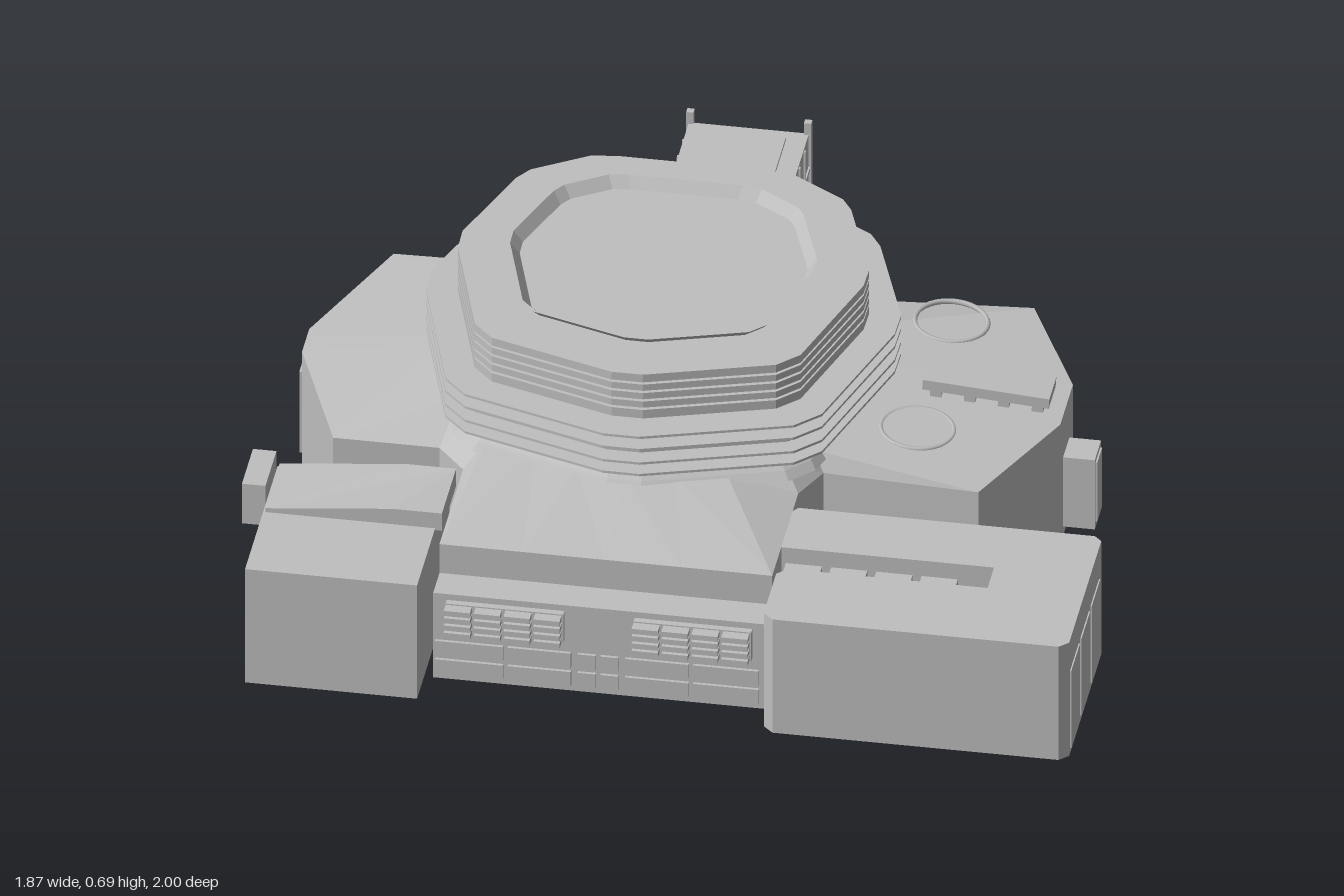
import * as THREE from 'three';

const CX = -0.12, CZ = 0.08; // axis of the stepped drum

// Main hall plan [x, z], going round from +x towards +z
const PLAN = [
  [0.77, 0.16], [0.64, 0.455], [0.29, 0.41], [0.25, 0.5], [0.25, 0.83], [0.25, 0.91], [0.05, 0.91], [-0.12, 0.91],
  [-0.3, 0.91], [-0.485, 0.91], [-0.485, 0.83], [-0.485, 0.53], [-0.55, 0.455], [-0.785, 0.455], [-0.91, 0.13],
  [-0.91, 0.04], [-0.78, -0.285], [-0.55, -0.285], [-0.375, -0.46], [-0.25, -0.68], [-0.25, -0.79],
  [0.015, -0.79], [0.015, -0.68], [0.15, -0.46], [0.31, -0.285], [0.635, -0.285], [0.77, 0.0],
];
// Drum plan for unit radius, with each corner cut slightly
const CORNERS = [[1.02, 0], [0.775, 0.815], [0, 1.06], [-0.775, 0.815], [-1.02, 0], [-0.8, -0.63], [-0.47, -0.84], [0.47, -0.84], [0.8, -0.63]];
const DRUM = CORNERS.flatMap((c, i) => [-1, 1].map((s) => {
  const o = CORNERS[(i + s + CORNERS.length) % CORNERS.length];
  return [c[0] + (o[0] - c[0]) * 0.1, c[1] + (o[1] - c[1]) * 0.1];
}));
const drumPlan = (r) => DRUM.map(([x, z]) => [CX + x * r, CZ + z * r]);

// Flat-shaded skin over rings of [x, y, z], with both ends closed
function loft(rings) {
  const p = [], n = rings[0].length;
  for (let k = 0; k + 1 < rings.length; k++) {
    const a = rings[k], b = rings[k + 1];
    for (let i = 0; i < n; i++) {
      const j = (i + 1) % n;
      p.push(...a[i], ...b[i], ...b[j], ...a[i], ...b[j], ...a[j]);
    }
  }
  const lo = rings[0], hi = rings[rings.length - 1];
  for (let i = 0; i < n; i++) {
    const j = (i + 1) % n;
    p.push(CX, lo[0][1], CZ, ...lo[i], ...lo[j], CX, hi[0][1], CZ, ...hi[j], ...hi[i]);
  }
  const g = new THREE.BufferGeometry();
  g.setAttribute('position', new THREE.Float32BufferAttribute(p, 3));
  g.computeVertexNormals();
  return g;
}

// Point where a ray from the drum axis meets a plan
function hit(plan, angle) {
  const dx = Math.cos(angle), dz = Math.sin(angle);
  for (let i = 0; i < plan.length; i++) {
    const [ax, az] = plan[i], [bx, bz] = plan[(i + 1) % plan.length];
    const ex = bx - ax, ez = bz - az, d = dx * ez - dz * ex;
    if (Math.abs(d) < 1e-9) continue;
    const t = ((ax - CX) * ez - (az - CZ) * ex) / d;
    const s = ((ax - CX) * dz - (az - CZ) * dx) / d;
    if (t > 0 && s >= -1e-6 && s <= 1 + 1e-6) return [CX + dx * t, CZ + dz * t];
  }
  return [CX, CZ];
}

// Solid from a plan shape between two heights
function slab(points, y0, y1) {
  const shape = new THREE.Shape(points.map(([x, z]) => new THREE.Vector2(x, -z)));
  const g = new THREE.ExtrudeGeometry(shape, { depth: y1 - y0, bevelEnabled: false });
  return g.rotateX(-Math.PI / 2).translate(0, y0, 0);
}

// Slab whose upper corners follow a height rule
function slopedSlab(points, y0, topAt) {
  const g = slab(points, y0, y0 + 1).toNonIndexed();
  const p = g.attributes.position;
  for (let i = 0; i < p.count; i++) if (p.getY(i) > y0 + 0.5) p.setY(i, topAt(p.getX(i), p.getZ(i)));
  g.computeVertexNormals();
  return g;
}

export function createModel() {
  const root = new THREE.Group();
  const grey = new THREE.MeshStandardMaterial({ color: 0xbfbfbf, side: THREE.DoubleSide });
  grey.name = 'concreteGrey';

  const add = (name, geo) => {
    const m = new THREE.Mesh(geo, grey);
    m.name = name;
    root.add(m);
    return m;
  };
  // Box from its limits
  const box = (name, x0, x1, y0, y1, z0, z1) =>
    add(name, new THREE.BoxGeometry(x1 - x0, y1 - y0, z1 - z0).translate((x0 + x1) / 2, (y0 + y1) / 2, (z0 + z1) / 2));

  // Main hall: walls, front ledge and step, roof rising to the drum
  const isFront = (z) => z > 0.8;
  const roofEdge = (x, z) => (z < -0.75 ? 0.335 : x > 0.6 ? 0.388 : 0.37);
  const ledge = (x, z) => (isFront(z) ? 0.295 : roofEdge(x, z));
  const stepBack = (z) => (isFront(z) ? 0.83 : z);
  const inner = drumPlan(0.47);
  add('mainHall', loft([
    PLAN.map(([x, z]) => [x, 0.075, z]),
    PLAN.map(([x, z]) => [x, ledge(x, z), z]),
    PLAN.map(([x, z]) => [x, ledge(x, z), stepBack(z)]),
    PLAN.map(([x, z]) => [x, roofEdge(x, z), stepBack(z)]),
    PLAN.map(([x, z]) => {
      const [hx, hz] = hit(inner, Math.atan2(stepBack(z) - CZ, x - CX));
      return [hx, 0.415, hz];
    }),
  ]));

  // Stepped drum with projecting fins and a flared rim round a sunken top
  const profile = [[0.5, 0.4], [0.485, 0.418], [0.45, 0.448]];
  [0.455, 0.47, 0.485, 0.5, 0.52, 0.536, 0.552].forEach((y, i) => {
    const r = i % 2 ? 0.495 : 0.52;
    profile.push([0.45, y], [r, y], [r, y + 0.006], [0.45, y + 0.006]);
  });
  [0.58, 0.602, 0.624, 0.646].forEach((y) => profile.push([0.45, y], [0.438, y], [0.438, y + 0.006], [0.45, y + 0.006]));
  profile.push([0.45, 0.672], [0.325, 0.672], [0.342, 0.69], [0.336, 0.69], [0.315, 0.664]);
  add('drum', loft(profile.map(([r, y]) => drumPlan(r).map(([x, z]) => [x, y, z]))));

  // Wedge housing on the roof behind the drum
  const wedge = [[-0.28, -0.36], [0.04, -0.36], [-0.03, -0.48], [-0.21, -0.48]];
  add('roofHousing', slopedSlab(wedge, 0.38, (x, z) => (z < -0.4 ? 0.42 : 0.445)));

  // Front left block with its sloping duct
  box('leftBlock', -0.885, -0.505, 0.075, 0.37, 0.585, 1.0);
  const duct = [[-0.88, 0.59], [-0.6, 0.59], [-0.49, 0.59], [-0.49, 0.77], [-0.6, 0.77], [-0.88, 0.77]];
  add('leftDuct', slopedSlab(duct, 0.365, (x) => (x < -0.7 ? 0.38 : 0.41)));
  box('ductVent', -0.937, -0.885, 0.315, 0.418, 0.6, 0.74);

  // Front right block with a slot cut through it
  add('rightBlock', slab([
    [0.25, 0.57], [0.26, 0.555], [0.915, 0.555], [0.932, 0.572], [0.932, 0.98], [0.912, 1.0], [0.28, 1.0], [0.257, 0.978],
    [0.257, 0.82], [0.28, 0.797], [0.72, 0.797], [0.72, 0.715], [0.25, 0.715],
  ], 0.075, 0.37));
  for (let i = 0; i < 4; i++) box('slotTab', 0.26 + i * 0.1, 0.34 + i * 0.1, 0.2, 0.33, 0.715, 0.75);
  for (const z of [0.6, 0.73, 0.86]) box('sidePanel', 0.93, 0.935, 0.09, 0.29, z, z + 0.11);

  // Louvre banks on the front
  for (const x0 of [-0.455, -0.04]) {
    box('louvreBack', x0, x0 + 0.26, 0.205, 0.28, 0.905, 0.925);
    for (let c = 0; c < 4; c++)
      for (let r = 0; r < 4; r++)
        box('louvre', x0 + c * 0.066, x0 + c * 0.066 + 0.058, 0.207 + r * 0.019, 0.22 + r * 0.019, 0.92, 0.95);
  }
  // Window strips below them
  const cols = [[-0.48, -0.33], [-0.32, -0.18], [-0.165, -0.125], [-0.115, -0.075], [-0.06, 0.08], [0.09, 0.235]];
  for (const y of [0.09, 0.138])
    for (const [a, b] of cols) box('frontWindow', a, b, y, y + 0.037, 0.908, 0.917);

  // Right wing: end unit, roof rings and tilted rack
  box('endUnit', 0.75, 0.84, 0.1, 0.28, 0.045, 0.125);
  box('endUnitDoor', 0.838, 0.844, 0.115, 0.268, 0.055, 0.115);
  for (const z of [0.25, -0.18]) {
    const ring = add('roofRing', new THREE.TorusGeometry(0.08, 0.006, 6, 32).rotateX(Math.PI / 2));
    ring.position.set(0.47, 0.402, z);
    ring.rotation.z = -0.06;
  }
  const rack = new THREE.Group();
  rack.name = 'roofRack';
  const rackPart = (w, h, d, x, y) => {
    const m = new THREE.Mesh(new THREE.BoxGeometry(w, h, d), grey);
    m.name = 'rackPart';
    m.position.set(x, y, 0);
    rack.add(m);
  };
  rackPart(0.28, 0.025, 0.09, 0, 0);
  for (let i = 0; i < 4; i++) rackPart(0.025, 0.04, 0.08, -0.11 + i * 0.075, -0.027);
  rack.position.set(0.6, 0.428, 0.085);
  rack.rotation.z = -0.07;
  root.add(rack);
  box('leftWingVent', -0.918, -0.9, 0.1, 0.31, 0.05, 0.12);

  // Cage at the end of the back arm: panelled sides, open back
  box('cageFloor', -0.25, 0.015, 0.075, 0.095, -0.99, -0.78);
  box('cageRoof', -0.25, 0.015, 0.3, 0.315, -0.99, -0.78);
  box('cageHatch', -0.205, -0.03, 0.315, 0.322, -0.955, -0.815);
  for (const x of [-0.255, 0.005]) {
    box('cageSide', x + 0.005, x + 0.01, 0.09, 0.305, -0.99, -0.79);
    box('cagePost', x, x + 0.016, 0.075, 0.345, -1.0, -0.984);
    box('cagePost', x, x + 0.016, 0.075, 0.325, -0.8, -0.784);
    for (const z of [-0.93, -0.865]) box('cageBar', x + 0.001, x + 0.014, 0.09, 0.31, z, z + 0.008);
    for (const y of [0.15, 0.225]) box('cageRail', x + 0.001, x + 0.014, y, y + 0.008, -0.99, -0.79);
  }
  for (const x of [-0.19, -0.05]) box('cageBar', x, x + 0.01, 0.09, 0.31, -0.995, -0.985);
  for (const x of [-0.245, -0.045]) box('cageBackPanel', x, x + 0.055, 0.09, 0.305, -0.991, -0.986);
  box('cageRail', -0.25, 0.015, 0.225, 0.233, -0.995, -0.987);

  // Underside: eight plates parted by radial channels, with sloping outer edges
  const clamp = THREE.MathUtils.clamp;
  for (let k = 0; k < 8; k++) {
    const a0 = k * Math.PI / 4, mid = a0 + Math.PI / 8;
    const ox = Math.cos(mid) * 0.07, oz = Math.sin(mid) * 0.07;
    const pts = [[CX + ox, CZ + oz]];
    for (let i = 0; i <= 8; i++) {
      const [x, z] = hit(PLAN, a0 + i * Math.PI / 32 + 1e-4);
      pts.push([clamp(CX + (x - CX) * 0.9, -0.83, 0.47) + ox * 0.8, clamp(CZ + (z - CZ) * 0.9, -0.36, 0.79) + oz * 0.8]);
    }
    const plate = slab(pts, 0.035, 0.076).toNonIndexed();
    const p = plate.attributes.position;
    for (let i = 0; i < p.count; i++) {
      if (p.getY(i) > 0.05) continue;
      p.setX(i, CX + (p.getX(i) - CX) * 0.93);
      p.setZ(i, CZ + (p.getZ(i) - CZ) * 0.95);
    }
    plate.computeVertexNormals();
    add('undersidePlate', plate);
  }

  // Central foot under the hall, and thin pins
  const cyl = (name, rt, rb, y0, y1, x, z, sides) =>
    add(name, new THREE.CylinderGeometry(rt, rb, y1 - y0, sides).translate(x, (y0 + y1) / 2, z));
  cyl('footFlare', 0.055, 0.025, 0.03, 0.076, CX, 0.09, 12);
  cyl('foot', 0.022, 0.022, 0, 0.04, CX, 0.09, 12);
  for (const [x, z] of [[0.76, 0.08], [0.6, 0.4], [-0.3, 0.3], [0.06, -0.1], [-0.12, -0.84], [-0.25, -0.99], [0.01, -0.99]])
    cyl('pin', 0.003, 0.003, 0.02, 0.08, x, z, 6);

  return root;
}
